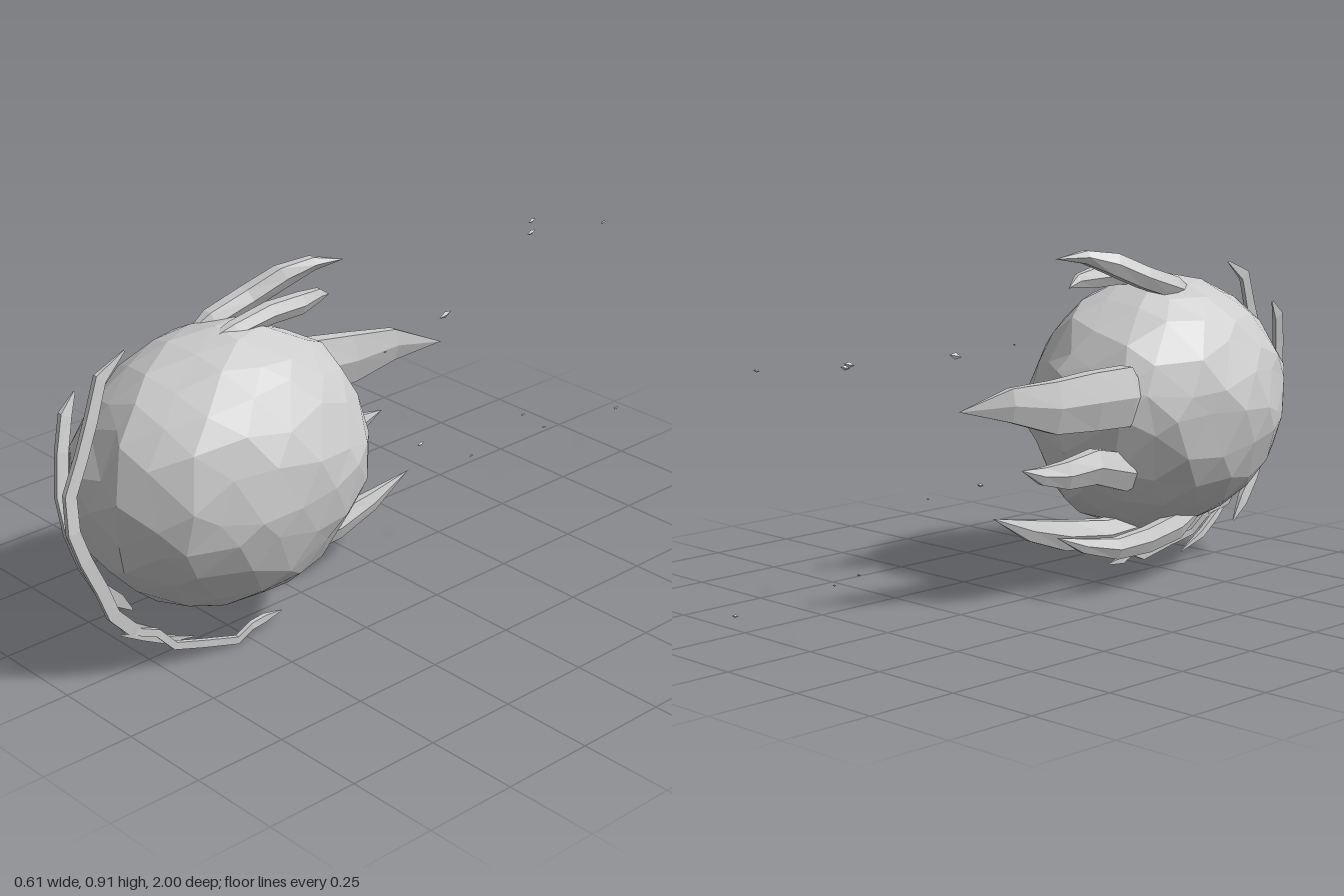
import * as THREE from 'three';

const stone = new THREE.MeshStandardMaterial({ color: 0xcccccc, flatShading: true });
stone.name = 'pale stone grey';

// Lofts a faceted tube through stations [x, y, z, halfWidth, halfDepth]
function loft(stations, sides) {
  const p = stations.map(s => new THREE.Vector3(s[0], s[1], s[2]));
  const u = new THREE.Vector3(1, 0, 0);
  const pos = [], index = [];
  stations.forEach((s, i) => {
    const t = p[Math.min(i + 1, p.length - 1)].clone().sub(p[Math.max(i - 1, 0)]);
    const v = t.cross(u).normalize();
    for (let j = 0; j < sides; j++) {
      const a = ((j + (sides === 4 ? 0.5 : 0)) / sides) * Math.PI * 2;
      const q = p[i].clone().addScaledVector(u, Math.cos(a) * s[3]).addScaledVector(v, Math.sin(a) * s[4]);
      pos.push(q.x, q.y, q.z);
      if (i === p.length - 1) continue;
      const b = i * sides + j, c = i * sides + ((j + 1) % sides);
      index.push(b, c, c + sides, b, c + sides, b + sides);
    }
  });
  const g = new THREE.BufferGeometry();
  g.setAttribute('position', new THREE.Float32BufferAttribute(pos, 3));
  g.setIndex(index);
  const flat = g.toNonIndexed();
  flat.computeVertexNormals();
  return flat;
}

// Thin ribbon tendril with constant section, pointed at both ends
function ribbon(points, w = 0.009, d = 0.024) {
  const n = points.length - 1;
  return loft(points.map((q, i) => {
    const k = i === 0 || i === n ? 0.15 : 1;
    return [...q, w * k, d * k];
  }), 4);
}

// Lumpy faceted rock
function rockGeometry() {
  const g = new THREE.IcosahedronGeometry(1, 3);
  const a = g.attributes.position;
  const v = new THREE.Vector3();
  for (let i = 0; i < a.count; i++) {
    v.fromBufferAttribute(a, i).normalize();
    const lump = 1.012 + 0.018 * Math.sin(5 * v.x + 3 * v.y + 1) * Math.cos(4 * v.z - 2 * v.y)
      + 0.012 * Math.sin(9 * v.y + 7 * v.z) + 0.013 * Math.sin(11 * v.x - 8 * v.z);
    // slight jitter across the surface breaks up the regular facets
    const jx = 0.06 * Math.sin(37 * v.y + 23 * v.z), jy = 0.06 * Math.sin(31 * v.z + 29 * v.x);
    v.x += jx; v.y += jy;
    v.normalize();
    // chipped lower right side
    const chip = 0.07 * Math.max(0, -0.65 * v.x - 0.75 * v.y - 0.5);
    v.multiplyScalar(lump - chip);
    a.setXYZ(i, 0.002 + v.x * 0.303, 0.465 + v.y * 0.352, 0.505 + v.z * 0.397);
  }
  g.computeVertexNormals();
  return g;
}

export function createModel() {
  const group = new THREE.Group();
  const add = (name, geometry) => {
    const m = new THREE.Mesh(geometry, stone);
    m.name = name;
    group.add(m);
    return m;
  };

  add('rock', rockGeometry());

  // Flames sweeping back from the rock
  const flames = {
    upperRightFlame: [[-0.1, 0.77, 0.54, 0, 0], [-0.095, 0.795, 0.45, 0.027, 0.034], [-0.085, 0.83, 0.34, 0.03, 0.034],
      [-0.06, 0.87, 0.25, 0.027, 0.034], [-0.035, 0.892, 0.17, 0.02, 0.02], [-0.005, 0.89, 0.09, 0, 0]],
    upperLeftFlame: [[0.012, 0.79, 0.6, 0, 0], [0.018, 0.81, 0.47, 0.024, 0.027], [0.022, 0.828, 0.36, 0.026, 0.03],
      [0.022, 0.826, 0.26, 0.024, 0.03], [0.01, 0.825, 0.19, 0.014, 0.02], [-0.005, 0.81, 0.14, 0, 0]],
    largeRearFlame: [[-0.17, 0.53, 0.27, 0, 0], [-0.172, 0.54, 0.18, 0.042, 0.09], [-0.165, 0.54, 0.06, 0.04, 0.087],
      [-0.145, 0.535, -0.06, 0.033, 0.078], [-0.11, 0.55, -0.18, 0.02, 0.05], [-0.05, 0.54, -0.3, 0, 0]],
    lowerRearFlame: [[-0.13, 0.3, 0.34, 0, 0], [-0.135, 0.33, 0.22, 0.04, 0.058], [-0.135, 0.36, 0.1, 0.035, 0.052],
      [-0.13, 0.35, 0.0, 0.026, 0.042], [-0.115, 0.355, -0.07, 0.016, 0.026], [-0.1, 0.375, -0.13, 0, 0]],
    lowerLeftFlame: [[-0.015, 0.16, 0.52, 0, 0], [-0.015, 0.145, 0.4, 0.034, 0.036], [-0.018, 0.14, 0.26, 0.036, 0.043],
      [-0.01, 0.155, 0.12, 0.03, 0.046], [-0.002, 0.185, 0, 0.018, 0.032], [0.005, 0.235, -0.13, 0, 0]],
    lowerRightFlame: [[-0.13, 0.19, 0.56, 0, 0], [-0.14, 0.155, 0.42, 0.026, 0.04], [-0.142, 0.135, 0.3, 0.026, 0.038],
      [-0.14, 0.13, 0.18, 0.024, 0.032], [-0.12, 0.15, 0.08, 0.014, 0.022], [-0.1, 0.18, 0, 0, 0]],
  };
  for (const [name, stations] of Object.entries(flames)) add(name, loft(stations, 6));

  // Tendrils curling over the front
  add('longTendril', ribbon([[-0.018, 0.835, 0.77], [-0.01, 0.79, 0.85], [0.002, 0.7, 0.89], [0.012, 0.62, 0.93],
    [0.022, 0.54, 0.975], [0.035, 0.45, 0.98], [0.041, 0.37, 0.955], [0.044, 0.28, 0.915], [0.045, 0.2, 0.885],
    [0.042, 0.14, 0.83], [0.035, 0.11, 0.76]]));
  add('shortTendril', ribbon([[-0.113, 0.725, 0.85], [-0.1, 0.68, 0.89], [-0.08, 0.6, 0.92], [-0.062, 0.5, 0.94],
    [-0.048, 0.4, 0.93], [-0.046, 0.3, 0.895], [-0.052, 0.22, 0.85], [-0.065, 0.16, 0.79], [-0.075, 0.11, 0.74]]));
  add('leftTendrilTail', ribbon([[0.02, 0.19, 0.87], [0.035, 0.135, 0.84], [0.05, 0.105, 0.76], [0.065, 0.06, 0.72],
    [0.078, 0.04, 0.64], [0.087, 0.014, 0.54], [0.085, 0.035, 0.49], [0.065, 0.025, 0.43], [0.06, 0.022, 0.37]],
  0.009, 0.014));
  add('rightTendrilTail', ribbon([[0.05, 0.14, 0.87], [0.035, 0.1, 0.79], [0.025, 0.06, 0.72], [0.015, 0.025, 0.62]],
    0.009, 0.014));

  // Small sparks trailing behind: x, y, z, length
  const sparks = [[0.04, 0.665, -0.225, 0.045], [0.13, 0.285, -0.24, 0.012], [0.04, 0.32, -0.14, 0.025],
    [0.105, 0.66, 0.05, 0.012], [-0.14, 0.715, -0.735, 0.035], [-0.195, 0.72, -0.795, 0.03],
    [-0.09, 0.195, -0.67, 0.015], [-0.035, 0.165, -0.7, 0.012], [-0.06, 0.715, -0.945, 0.02], [-0.02, 0.14, -0.99, 0.02]];
  for (const [x, y, z, l] of sparks) {
    const s = add('spark', new THREE.OctahedronGeometry(0.5));
    s.scale.set(0.01, l * 0.4, l);
    s.position.set(x, y, z);
    s.rotation.x = 0.25;
  }
  return group;
}
